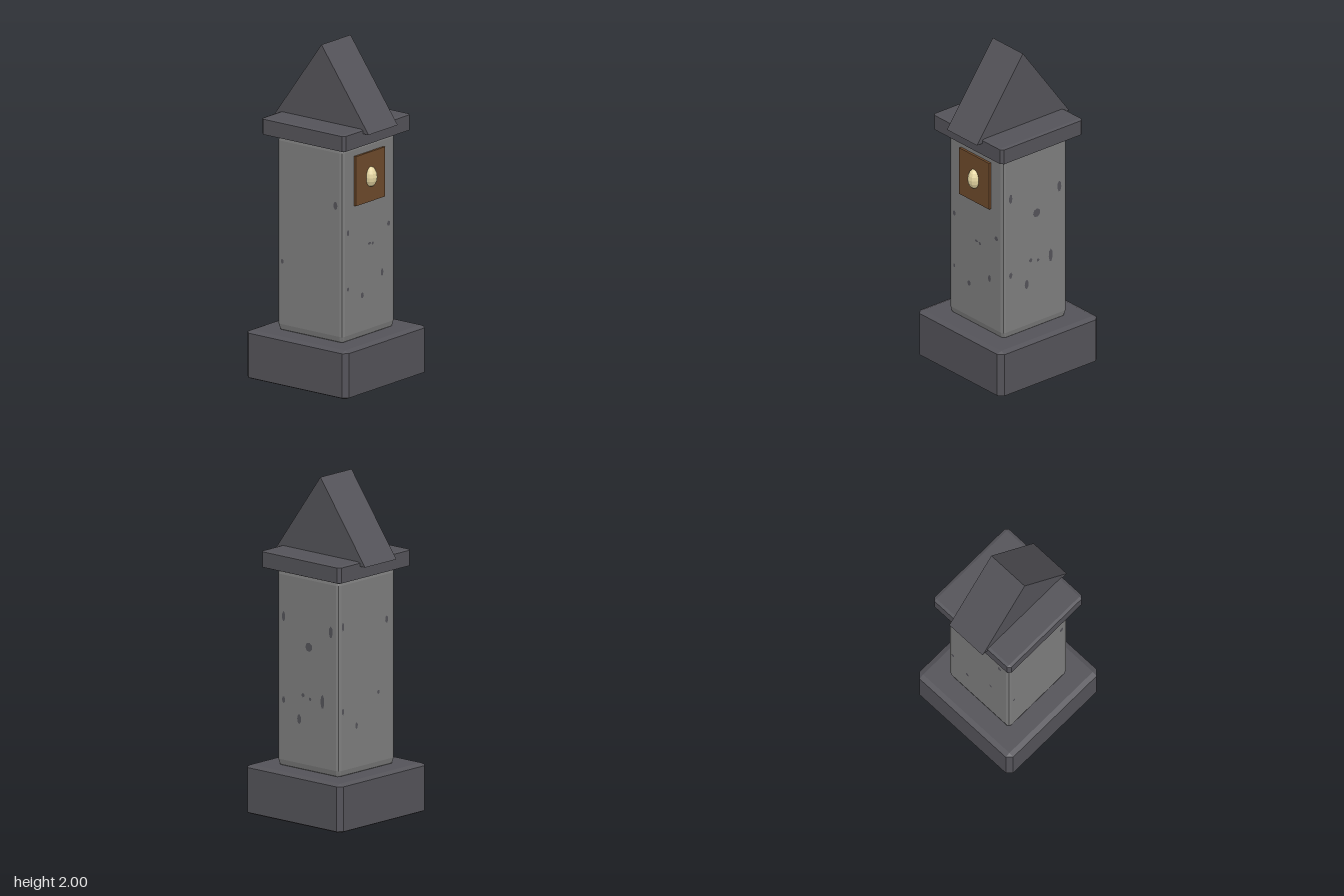
import * as THREE from 'three';
import { ConvexGeometry } from 'three/addons/geometries/ConvexGeometry.js';

const material = (name, color) => Object.assign(new THREE.MeshStandardMaterial({ color }), { name });

// Block with bevelled edges; half = half width, from y0 to y1, bevel width b and bevel height h
function bevelledBlock(half, y0, y1, b, h, segments = 1) {
  const points = [];
  const cy = (y0 + y1) / 2, hy = (y1 - y0) / 2;
  for (const sx of [-1, 1]) for (const sy of [-1, 1]) for (const sz of [-1, 1]) {
    for (let i = 0; i <= segments; i++) for (let j = 0; j <= segments - i; j++) {
      const d = new THREE.Vector3(i, j, segments - i - j).normalize();
      points.push(new THREE.Vector3(
        sx * (half - b + b * d.x), cy + sy * (hy - h + h * d.y), sz * (half - b + b * d.z)));
    }
  }
  return new ConvexGeometry(points);
}

export function createModel() {
  const group = new THREE.Group();
  const slate = material('dark slate', 0x545359);
  const stone = material('grey stone', 0x7e7e7e);
  const wood = material('brown wood', 0x6e4a2b);
  const glow = material('pale lamp', 0xe6d6a2);

  const add = (name, geometry, mat, parent = group) => {
    const mesh = new THREE.Mesh(geometry, mat);
    mesh.name = name;
    parent.add(mesh);
    return mesh;
  };

  // Stacked blocks
  add('base', bevelledBlock(0.373, 0, 0.29, 0.03, 0.013), slate);
  add('column', bevelledBlock(0.24, 0.28, 1.46, 0.022, 0.045, 2), stone);
  add('cap', bevelledBlock(0.306, 1.447, 1.55, 0.017, 0.006), slate);

  // Narrow gable, ridge running left to right
  const gable = new THREE.Shape([[-0.346, 1.525], [0.346, 1.525], [0, 2]].map(p => new THREE.Vector2(...p)));
  const roof = new THREE.ExtrudeGeometry(gable, { depth: 0.265, bevelEnabled: false });
  roof.translate(0, 0, -0.1325).rotateY(Math.PI / 2);
  add('gableRoof', roof, slate);

  // Wooden panel and lamp on the front
  add('lampPanel', new THREE.BoxGeometry(0.264, 0.295, 0.016), wood).position.set(0, 1.232, 0.246);
  const bulb = new THREE.SphereGeometry(1, 12, 8).scale(0.04, 0.06, 0.04).toNonIndexed();
  bulb.computeVertexNormals();
  add('lamp', bulb, glow).position.set(0, 1.232, 0.253);

  // Worn patches per face: [across, y, width, height], across runs to the viewer's right
  const sidePatches = [
    [-0.185, 1.17, 0.025, 0.06], [0.18, 1.135, 0.03, 0.07], [0.01, 1.02, 0.055, 0.055],
    [-0.185, 0.68, 0.025, 0.04], [-0.035, 0.73, 0.025, 0.025], [0.02, 0.715, 0.02, 0.02],
    [0.115, 0.715, 0.03, 0.085], [-0.065, 0.585, 0.03, 0.06]];
  const faces = [
    ['front', 0, [
      [-0.19, 0.935, 0.022, 0.035], [0.18, 0.912, 0.03, 0.03], [0.005, 0.832, 0.03, 0.015],
      [0.035, 0.826, 0.02, 0.02], [0.12, 0.635, 0.025, 0.045], [-0.19, 0.6, 0.018, 0.025],
      [-0.06, 0.537, 0.028, 0.035]]],
    ['left', Math.PI / 2, sidePatches],
    ['back', Math.PI, [
      [-0.205, 1.17, 0.02, 0.05], [0.165, 1.15, 0.025, 0.045], [-0.205, 0.67, 0.02, 0.04],
      [-0.09, 0.57, 0.022, 0.04], [0.095, 0.735, 0.022, 0.025]]],
    ['right', -Math.PI / 2, [
      [0.19, 1.1, 0.03, 0.05], [-0.2, 0.7, 0.02, 0.03]]],
  ];
  for (const [side, angle, patches] of faces) {
    const holder = new THREE.Group();
    holder.name = `${side}WornPatches`;
    holder.rotation.y = angle;
    group.add(holder);
    patches.forEach(([x, y, w, h], i) => {
      const patch = new THREE.CircleGeometry(0.5, 7, i * 0.7).scale(w, h, 1);
      add('wornPatch', patch, slate, holder).position.set(x, y, 0.2415);
    });
  }
  return group;
}
